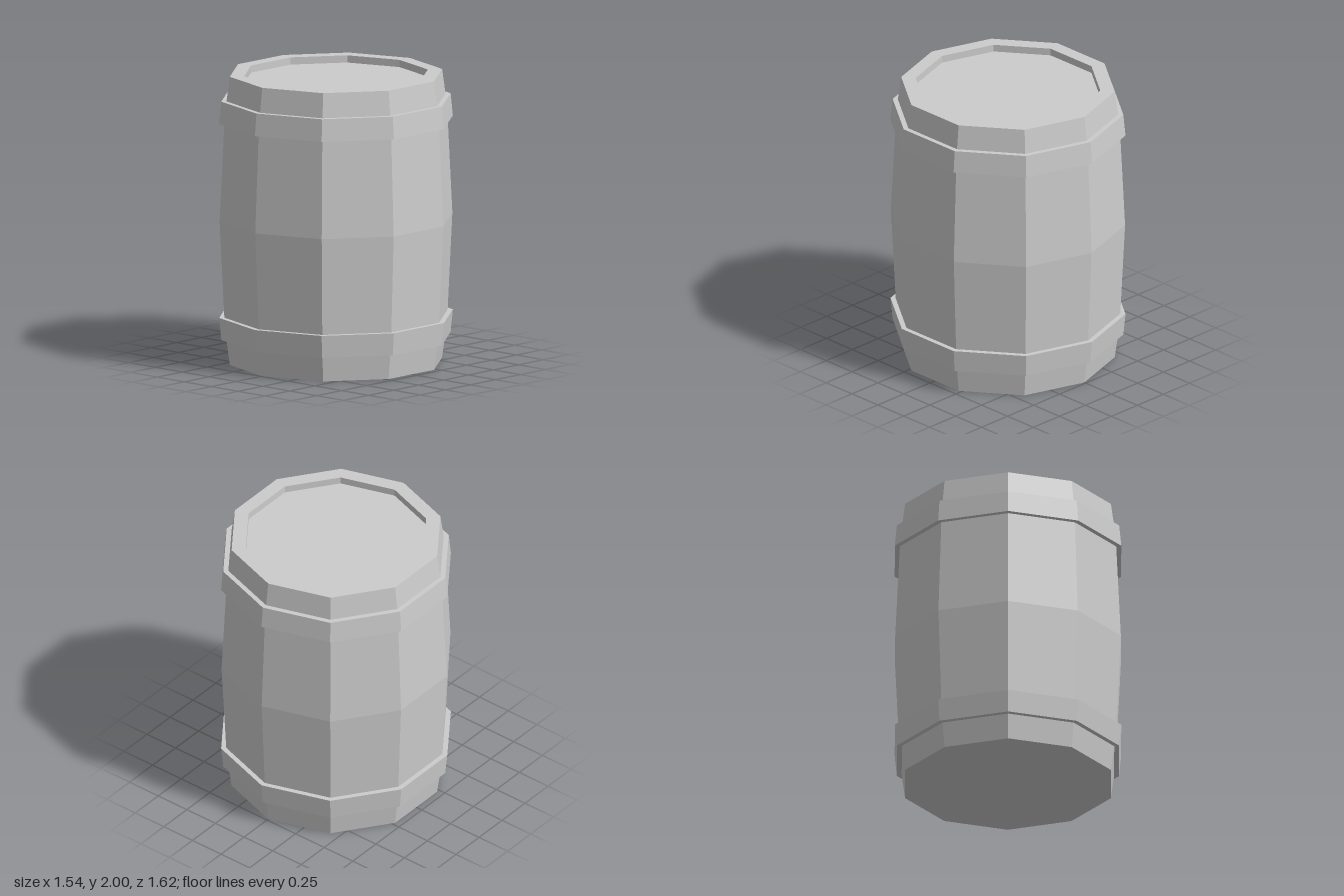
import * as THREE from 'three';

const SIDES = 10;

export function createModel() {
  const model = new THREE.Group();
  model.name = 'barrel';
  const grey = new THREE.MeshStandardMaterial({ color: 0xcccccc, flatShading: true });
  grey.name = 'pale grey';

  // Ten-sided solid of revolution from [radius, height] pairs, bottom to top
  function turned(name, profile) {
    const points = profile.map(([r, y]) => new THREE.Vector2(r, y));
    const mesh = new THREE.Mesh(new THREE.LatheGeometry(points, SIDES), grey);
    mesh.name = name;
    model.add(mesh);
    return mesh;
  }

  // Bulging body with a flat base, a raised rim and a recessed lid
  turned('body', [
    [0, 0], [0.737, 0], [0.771, 0.25], [0.808, 1], [0.771, 1.75],
    [0.737, 2], [0.637, 2], [0.637, 1.95], [0, 1.95],
  ]);

  // Hoops, wider towards the middle of the barrel
  turned('lowerHoop', [[0.755, 0.175], [0.796, 0.175], [0.811, 0.33], [0.755, 0.33]]);
  turned('upperHoop', [[0.755, 1.675], [0.811, 1.675], [0.796, 1.83], [0.755, 1.83]]);

  return model;
}
